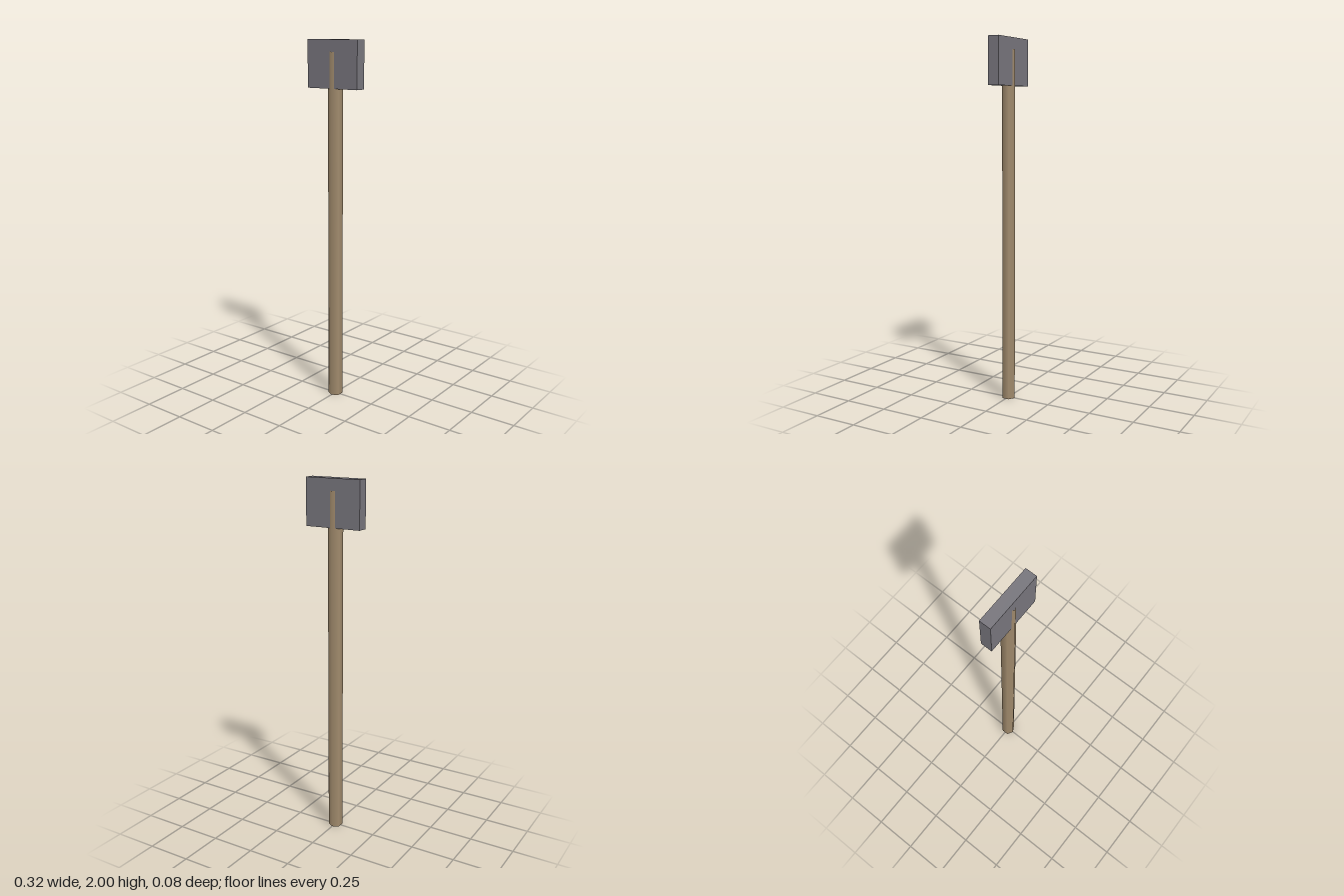
import * as THREE from 'three';

export function createModel() {
  const model = new THREE.Group();

  // Hexagonal open-ended post, corners facing front and back
  const postHeight = 1.937;
  const post = new THREE.Mesh(
    new THREE.CylinderGeometry(0.04, 0.04, postHeight, 6, 1, true),
    new THREE.MeshStandardMaterial({ color: 0xa08a6c, side: THREE.DoubleSide })
  );
  post.name = 'post';
  post.position.y = postHeight / 2;
  model.add(post);

  // Flat slab at the top; the post's corners poke through its faces
  const slabHeight = 0.254;
  const slab = new THREE.Mesh(
    new THREE.BoxGeometry(0.323, slabHeight, 0.063),
    new THREE.MeshStandardMaterial({ color: 0x77757c })
  );
  slab.name = 'headSlab';
  slab.position.y = 2 - slabHeight / 2;
  model.add(slab);

  return model;
}
